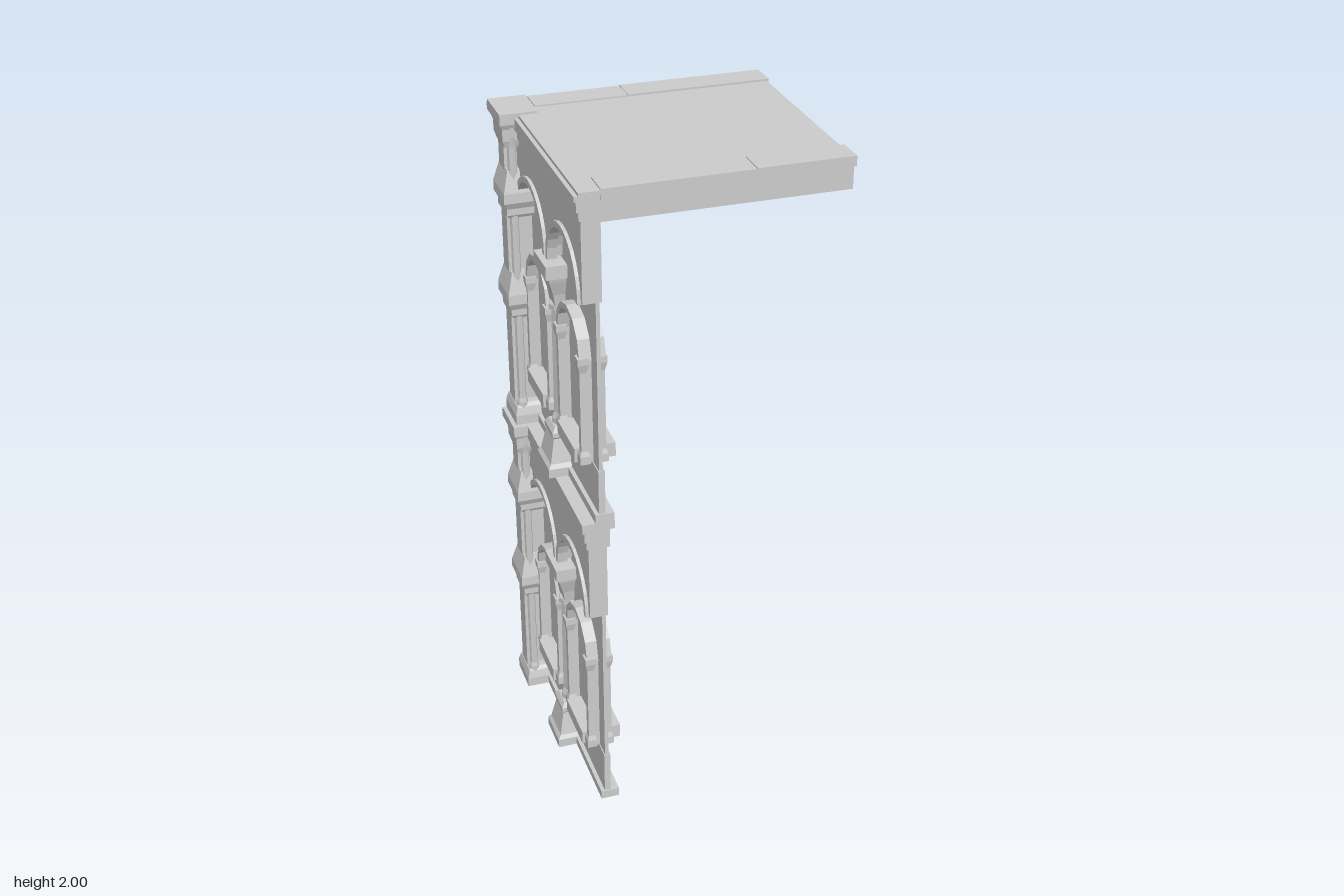
import * as THREE from 'three';

const stone = new THREE.MeshStandardMaterial({ color: 0xcccccc, flatShading: true });

function add(parent, name, geo) {
  const m = new THREE.Mesh(geo, stone);
  m.name = name;
  parent.add(m);
  return m;
}

// box given by its extents
function box(parent, name, x0, x1, y0, y1, z0, z1) {
  const g = new THREE.BoxGeometry(x1 - x0, y1 - y0, z1 - z0);
  g.translate((x0 + x1) / 2, (y0 + y1) / 2, (z0 + z1) / 2);
  return add(parent, name, g);
}

// turned profile of [radius, y]; four sides gives a square pier with that half width
function turned(parent, name, x, z, y, profile, sides) {
  const k = sides === 4 ? Math.SQRT2 : 1;
  const pts = profile.map(([r, h]) => new THREE.Vector2(r * k, h));
  pts.unshift(new THREE.Vector2(0, profile[0][1]));
  pts.push(new THREE.Vector2(0, profile[profile.length - 1][1]));
  const g = new THREE.LatheGeometry(pts, sides, Math.PI / 4);
  g.translate(x, y, z);
  return add(parent, name, g);
}

// outline drawn as (-z, y), given thickness from x0 to x1
function plate(parent, name, pts, x0, x1, y) {
  const shape = new THREE.Shape(pts.map(([a, b]) => new THREE.Vector2(a, b)));
  const g = new THREE.ExtrudeGeometry(shape, { depth: x1 - x0, bevelEnabled: false });
  g.rotateY(Math.PI / 2);
  g.translate(x0, y, 0);
  return add(parent, name, g);
}

// semicircle from left to right
function arc(c, y, r, n) {
  return Array.from({ length: n + 1 }, (_, i) => {
    const a = Math.PI * (1 - i / n);
    return [c + r * Math.cos(a), y + r * Math.sin(a)];
  });
}

// arched band with straight legs down to foot
function archBand(c, foot, spring, inner, outer, n) {
  return [[c - outer, foot], ...arc(c, spring, outer, n), [c + outer, foot],
    [c + inner, foot], ...arc(c, spring, inner, n).reverse(), [c - inner, foot]];
}

const WINDOWS = [0.195, -0.135];   // z of the two bays
const MID = 0.028;                 // z of the column between them

function storey(y, top) {
  const s = new THREE.Group();
  s.name = top ? 'upperStorey' : 'lowerStorey';

  // wall, dado and plinth
  box(s, 'wallPanel', -0.313, -0.302, y, y + 0.99, -0.3, 0.362);
  box(s, 'dado', -0.316, -0.297, y, y + 0.165, -0.27, 0.364);
  box(s, 'plinth', -0.328, -0.272, y, y + 0.027, -0.27, 0.368);

  // spandrel wall with two large arches
  const spandrel = [[-0.366, 0.68], ...arc(-WINDOWS[0], 0.68, 0.15, 14),
    ...arc(-WINDOWS[1], 0.68, 0.15, 14), [0.3, 0.68], [0.3, 0.96], [-0.366, 0.96]];
  plate(s, 'spandrel', spandrel, -0.35, -0.296, y);

  for (const c of WINDOWS) {
    // large arch moulding on the outer face
    plate(s, 'archMoulding', archBand(-c, 0.675, 0.68, 0.14, 0.158, 14), -0.36, -0.33, y);

    // window surround
    plate(s, 'windowFrame', archBand(-c, 0.165, 0.485, 0.102, 0.115, 6), -0.338, -0.284, y);
    plate(s, 'windowHood', archBand(-c, 0.475, 0.485, 0.1, 0.117, 6), -0.348, -0.272, y);
    box(s, 'windowSill', -0.36, -0.24, y + 0.157, y + 0.2, c - 0.087, c + 0.087);

    // small columns on both faces
    for (const side of [-1, 1]) for (const x of [-0.338, -0.286]) {
      turned(s, 'windowColumn', x, c + side * 0.107, y, [[0.015, 0.165], [0.015, 0.19],
        [0.01, 0.205], [0.01, 0.45], [0.016, 0.475], [0.016, 0.495]], 4);
    }
  }

  // column between the bays: pedestal, shaft, capital
  turned(s, 'columnPedestal', -0.322, MID, y, [[0.064, 0], [0.064, 0.028], [0.055, 0.04],
    [0.04, 0.115], [0.044, 0.12], [0.044, 0.135], [0.034, 0.15]], 4);
  turned(s, 'columnShaft', -0.32, MID, y, [[0.035, 0.14], [0.035, 0.165], [0.028, 0.185],
    [0.026, 0.51], [0.033, 0.515], [0.033, 0.53], [0.03, 0.535]], 8);
  turned(s, 'columnCapital', -0.312, MID, y, [[0.03, 0.53], [0.036, 0.57], [0.05, 0.615],
    [0.052, 0.625], [0.063, 0.63], [0.063, 0.67]], 4);

  // cornice in three outer steps, with a floor band inside the lower one
  box(s, 'corniceLow', -0.355, -0.296, y + 0.915, y + 0.94, -0.3, 0.366);
  box(s, 'corniceMiddle', -0.361, -0.296, y + 0.94, y + 0.97, -0.3, 0.367);
  box(s, 'corniceTop', -0.367, -0.296, y + 0.97, y + (top ? 0.985 : 1), -0.3, 0.368);
  if (!top) {
    box(s, 'floorBand', -0.3, -0.286, y + 0.915, y + 0.975, -0.27, 0.366);
    box(s, 'floorLedge', -0.3, -0.272, y + 0.975, y + 1, -0.27, 0.368);
  }

  // corner pier with flared bands
  box(s, 'cornerPier', -0.388, -0.3, y, y + 0.96, -0.347, -0.285);
  turned(s, 'pierFoot', -0.335, -0.305, y, [[0.062, 0], [0.062, 0.03], [0.055, 0.055],
    [0.045, 0.065]], 4);
  for (const h of [0.355, 0.675]) {
    turned(s, 'pierBand', -0.34, -0.306, y + h, [[0.048, 0], [0.054, 0.01], [0.054, 0.03],
      [0.064, 0.05], [0.063, 0.08], [0.054, 0.115], [0.046, 0.145]], 4);
  }
  turned(s, 'pierCapital', -0.345, -0.305, y, [[0.046, 0.89], [0.052, 0.91], [0.053, 0.945],
    [0.061, 0.965], [0.063, 0.995]], 4);
  box(s, 'pierCapPlate', -0.41, -0.3, y + 0.968, y + 1, -0.367, -0.225);
  box(s, 'pierCapStrip', -0.41, -0.27, y + 0.968, y + 0.99, -0.374, -0.36);

  // slim shafts standing against the pier
  for (const [x, z] of [[-0.291, -0.266], [-0.291, -0.334], [-0.37, -0.266]]) {
    turned(s, 'pierColumn', x, z, y, [[0.017, 0], [0.017, 0.07], [0.013, 0.085],
      [0.013, 0.89], [0.017, 0.92], [0.017, 0.95]], 8);
  }
  return s;
}

export function createModel() {
  const model = new THREE.Group();
  model.name = 'arcadeCorner';
  model.add(storey(0, false), storey(1, true));

  // roof deck with an edge beam and a thin hanging fascia along front and back
  const roof = new THREE.Group();
  roof.name = 'roof';
  box(roof, 'roofDeck', -0.355, 0.403, 1.985, 1.994, -0.355, 0.368);
  for (const { side, split, shift } of [{ side: 1, split: 0.13, shift: 0.004 },
    { side: -1, split: -0.02, shift: -0.004 }]) {
    const span = (a, b) => (side > 0 ? [a, b] : [-b, -a]);
    const z = span(0.278 + shift, 0.364 + shift);
    box(roof, 'edgeBeam', -0.295, split, 1.968, 1.998, ...z);
    box(roof, 'edgeBeam', split, 0.41, 1.97, 2, ...z);
    box(roof, 'fascia', -0.3, 0.405, 1.905, 1.97, ...span(0.347 + shift, 0.358 + shift));
  }
  model.add(roof);
  return model;
}
